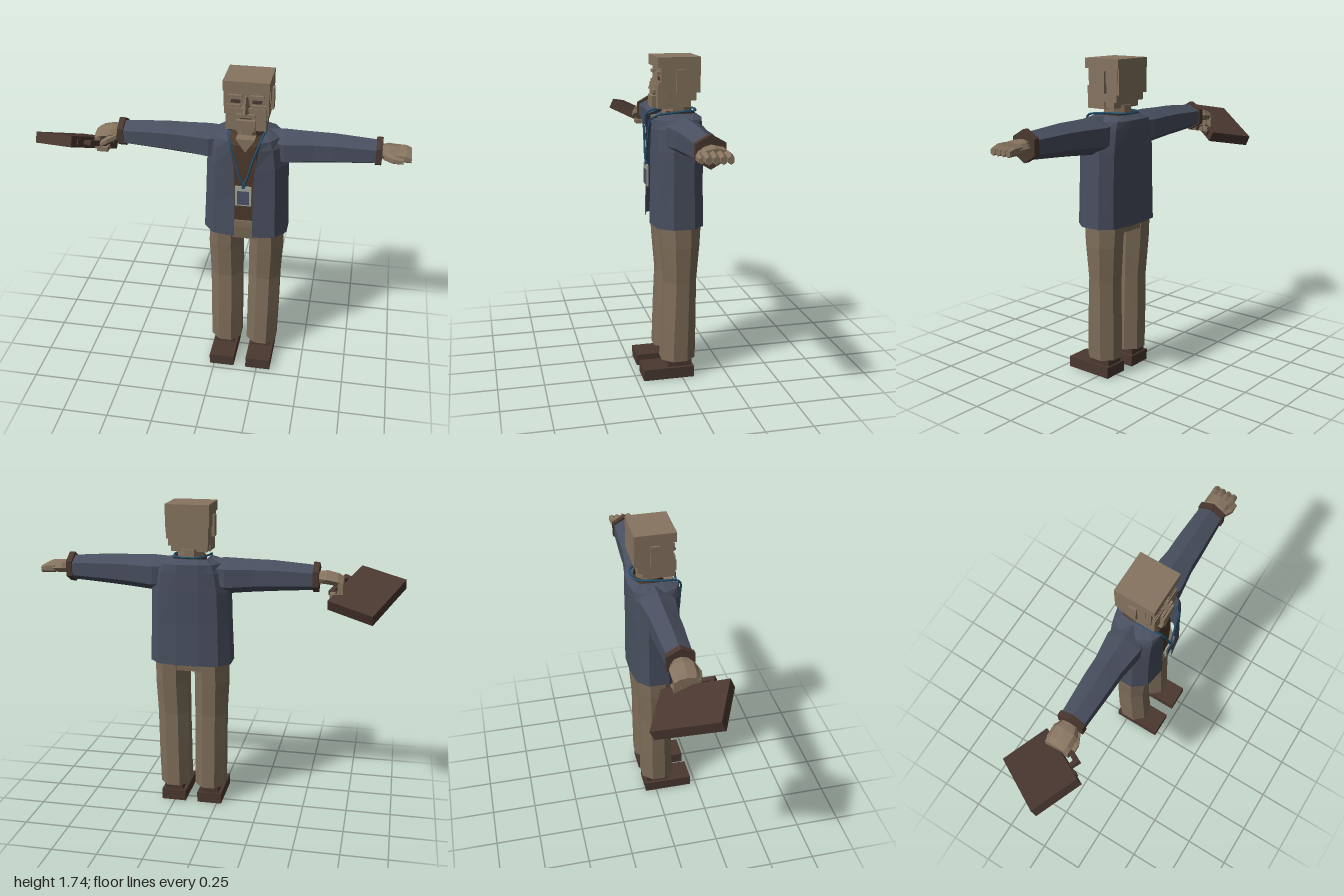
import * as THREE from 'three';

const mat = (name, color, side = THREE.FrontSide) =>
  new THREE.MeshStandardMaterial({ name, color, side, flatShading: true });

export function createModel() {
  const skin = mat('skin', 0x86745f);
  const trouser = mat('trouser tan', 0x7f6e5a);
  const cloth = mat('jacket blue grey', 0x494f5f, THREE.DoubleSide);
  const brown = mat('shirt brown', 0x4b382b, THREE.DoubleSide);
  const leather = mat('leather brown', 0x4a3830);
  const blue = mat('lanyard blue', 0x24506e);
  const white = mat('badge white', 0xa3a498);
  const photo = mat('badge photo', 0x4b5268);

  const model = new THREE.Group();
  model.name = 'standingMan';
  const body = new THREE.Group(); // body axis lies to one side, balancing the case
  body.name = 'body';
  body.position.x = 0.15;
  model.add(body);

  const add = (name, geo, m, parent = body) => {
    const mesh = new THREE.Mesh(geo, m);
    mesh.name = name;
    parent.add(mesh);
    return mesh;
  };
  // Box given by its limits on each axis
  const box = (name, m, x0, x1, y0, y1, z0, z1, parent = body) => {
    const g = new THREE.BoxGeometry(x1 - x0, y1 - y0, z1 - z0);
    g.translate((x0 + x1) / 2, (y0 + y1) / 2, (z0 + z1) / 2);
    return add(name, g, m, parent);
  };
  // Flat-shaded skin over cross-sections, turned outwards by its signed volume
  const loft = (rings, closed = true) => {
    const tris = [];
    const n = rings[0].length;
    for (let i = 0; i < rings.length - 1; i++) {
      for (let j = 0; j < (closed ? n : n - 1); j++) {
        const k = (j + 1) % n, a = rings[i], b = rings[i + 1];
        tris.push([a[j], a[k], b[k]], [a[j], b[k], b[j]]);
      }
    }
    if (closed) {
      const last = rings[rings.length - 1];
      for (let j = 1; j < n - 1; j++) {
        tris.push([rings[0][0], rings[0][j + 1], rings[0][j]], [last[0], last[j], last[j + 1]]);
      }
    }
    const mid = new THREE.Vector3();
    rings.flat().forEach((p) => mid.add(p));
    mid.divideScalar(n * rings.length);
    const rel = (p) => p.clone().sub(mid);
    const volume = tris.reduce((s, [a, b, c]) => s + rel(a).dot(rel(b).cross(rel(c))), 0);
    if (volume < 0) tris.forEach((t) => t.reverse());
    const g = new THREE.BufferGeometry().setFromPoints(tris.flat());
    g.computeVertexNormals();
    return g;
  };
  // Polygon rings: across x (for arms) or across y (for legs and trunk)
  const ringX = (x, y, z, ry, rz, n = 6) => Array.from({ length: n }, (_, i) => {
    const a = (i / n) * Math.PI * 2;
    return new THREE.Vector3(x, y + ry * Math.cos(a), z + rz * Math.sin(a));
  });
  const ringY = (y, x, z, rx, rz, n = 8) => Array.from({ length: n }, (_, i) => {
    const a = ((i + 0.5) / n) * Math.PI * 2, c = Math.cos(Math.PI / n);
    return new THREE.Vector3(x + (rx * Math.cos(a)) / c, y, z + (rz * Math.sin(a)) / c);
  });

  // Jacket, open at the front
  const jacketRing = ([y, gap, zf, u, w, zb]) => {
    const half = [[gap, zf], [u, zf - 0.02], [w, zf * 0.4], [w, -zb * 0.4], [u, 0.018 - zb], [0.06, -zb]];
    const mirrored = half.map(([x, z]) => [-x, z]).reverse();
    return [...half, ...mirrored].map(([x, z]) => new THREE.Vector3(x, y, z));
  };
  add('jacket', loft([
    [0.86, 0.05, 0.155, 0.17, 0.228, 0.128],
    [1.1, 0.048, 0.149, 0.165, 0.218, 0.125],
    [1.27, 0.055, 0.149, 0.16, 0.213, 0.127],
    [1.38, 0.075, 0.149, 0.145, 0.197, 0.127],
    [1.425, 0.085, 0.143, 0.13, 0.168, 0.125],
    [1.45, 0.085, 0.07, 0.095, 0.1, 0.09],
  ].map(jacketRing), false), cloth);

  // Shirt, collar and waist
  add('shirt', loft([
    ringY(0.94, 0, 0.01, 0.15, 0.11), ringY(1.25, 0, 0.01, 0.15, 0.115),
    ringY(1.39, 0, 0.01, 0.13, 0.108), ringY(1.425, 0, 0, 0.085, 0.08),
  ]), brown);
  const collar = new THREE.CylinderGeometry(0.082, 0.092, 0.05, 10, 1, true, 0.6, Math.PI * 2 - 1.2);
  add('collar', collar.translate(0, 1.435, -0.005), brown);
  add('hips', loft([ringY(0.82, 0, 0.003, 0.17, 0.1), ringY(0.91, 0, 0.005, 0.16, 0.11)]), trouser);
  add('belt', loft([ringY(0.905, 0, 0.007, 0.16, 0.122), ringY(0.945, 0, 0.007, 0.16, 0.122)]), trouser);

  // Neck and the skin showing in the open collar
  add('neck', loft([ringY(1.38, 0, 0, 0.065, 0.07), ringY(1.5, 0, 0, 0.07, 0.07)]), skin);
  const vee = new THREE.Shape([[-0.05, 1.43], [0, 1.355], [0.05, 1.43]].map((p) => new THREE.Vector2(...p)));
  add('openCollar', new THREE.ExtrudeGeometry(vee, { depth: 0.06, bevelEnabled: false }).translate(0, 0, 0.066), skin);

  // Lanyard and badge
  const strap = [[0.045, 1.32, 0.16], [0.08, 1.43, 0.145], [0.096, 1.458, 0.02], [0.06, 1.46, -0.09]];
  const path = [[0, 1.19, 0.163], ...strap, ...strap.map(([x, y, z]) => [-x, y, z]).reverse()];
  const curve = new THREE.CatmullRomCurve3(path.map((p) => new THREE.Vector3(...p)), true, 'centripetal');
  add('lanyard', new THREE.TubeGeometry(curve, 48, 0.006, 5, true), blue);
  box('badgeClip', blue, -0.01, 0.01, 1.165, 1.2, 0.158, 0.167);
  box('badge', white, -0.043, 0.043, 1.06, 1.175, 0.157, 0.165);
  box('badgePhoto', photo, -0.032, 0.032, 1.068, 1.148, 0.162, 0.168);

  // Blocky head
  const head = new THREE.Group();
  head.name = 'head';
  body.add(head);
  box('crown', skin, -0.12, 0.12, 1.69, 1.743, -0.105, 0.12, head);
  box('skull', skin, -0.115, 0.115, 1.56, 1.69, -0.105, 0.1, head);
  box('nape', skin, -0.11, 0.11, 1.52, 1.56, -0.085, 0.08, head);
  box('napeLower', skin, -0.1, 0.1, 1.485, 1.52, -0.058, 0.08, head);
  box('jaw', skin, -0.105, 0.105, 1.48, 1.6, 0, 0.117, head);
  box('chin', skin, -0.05, 0.05, 1.48, 1.54, 0.1, 0.138, head);
  box('moustache', skin, -0.05, 0.05, 1.553, 1.572, 0.1, 0.13, head);
  box('mouth', leather, -0.03, 0.03, 1.543, 1.549, 0.112, 0.12, head);
  add('nose', loft([
    [[-0.025, 1.572, 0.1], [0.025, 1.572, 0.1], [0, 1.575, 0.148]],
    [[-0.011, 1.66, 0.09], [0.011, 1.66, 0.09], [0, 1.66, 0.115]],
  ].map((r) => r.map((p) => new THREE.Vector3(...p)))), skin, head);
  for (const s of [-1, 1]) {
    const side = (name, m, a, b, ...rest) => box(name, m, Math.min(s * a, s * b), Math.max(s * a, s * b), ...rest, head);
    side('brow', skin, 0.022, 0.09, 1.652, 1.668, 0.09, 0.116);
    side('eye', leather, 0.03, 0.08, 1.622, 1.64, 0.096, 0.104);
    side('cheek', skin, 0.03, 0.1, 1.595, 1.615, 0.09, 0.112);
    side('ear', skin, 0.11, 0.132, 1.565, 1.68, -0.02, 0.025);
    side('sideburn', skin, 0.1, 0.12, 1.62, 1.7, -0.1, 0.07);
  }

  for (const s of [-1, 1]) {
    // Sleeve and cuff
    add('sleeve', loft([
      [0.1, 1.365, 0.08, 0.08], [0.2, 1.352, 0.1, 0.11], [0.27, 1.355, 0.095, 0.1],
      [0.35, 1.358, 0.09, 0.088], [0.45, 1.362, 0.085, 0.086], [0.68, 1.362, 0.068, 0.074],
    ].map(([x, y, ry, rz]) => ringX(s * x, y, 0, ry, rz))), cloth);
    add('cuff', loft([ringX(s * 0.668, 1.365, 0, 0.082, 0.083), ringX(s * 0.7, 1.365, 0, 0.082, 0.083)]), leather);

    // Trouser leg
    add('trouserLeg', loft([
      [0.1, 0.103, 0.015, 0.086, 0.093], [0.32, 0.106, 0.01, 0.088, 0.09],
      [0.55, 0.108, 0.004, 0.088, 0.085], [0.75, 0.113, 0.004, 0.092, 0.1],
      [0.9, 0.11, 0.004, 0.092, 0.109],
    ].map(([y, x, z, rx, rz]) => ringY(y, s * x, z, rx, rz))), trouser);

    // Shoe
    const cx = s * 0.106;
    box('shoe', leather, cx - 0.071, cx + 0.071, 0, 0.062, -0.065, 0.215);
    box('shoeUpper', leather, cx - 0.052, cx + 0.052, 0.06, 0.11, -0.055, 0.075);
  }

  // Open left hand
  add('leftPalm', loft([
    ringX(0.69, 1.365, 0, 0.034, 0.045, 8), ringX(0.73, 1.366, 0, 0.038, 0.07, 8), ringX(0.785, 1.364, 0, 0.034, 0.07, 8),
  ]), skin);
  for (let i = 0; i < 4; i++) {
    const z = -0.05 + i * 0.034;
    add('leftFinger', loft([
      ringX(0.77, 1.364, z, 0.026, 0.019), ringX(0.82, 1.362, z, 0.026, 0.019), ringX(0.85, 1.355, z, 0.02, 0.017),
    ]), skin);
  }
  add('leftThumb', loft([
    ringX(0.71, 1.362, 0.045, 0.024, 0.024), ringX(0.76, 1.355, 0.072, 0.022, 0.02), ringX(0.81, 1.35, 0.074, 0.016, 0.016),
  ]), skin);

  // Right hand curled around the handle
  add('rightPalm', loft([
    ringX(-0.69, 1.365, 0, 0.034, 0.045, 8), ringX(-0.74, 1.366, 0, 0.038, 0.07, 8),
    ringX(-0.8, 1.356, 0, 0.034, 0.07, 8), ringX(-0.83, 1.345, 0, 0.025, 0.06, 8),
  ]), skin);
  for (let i = 0; i < 4; i++) {
    const z = -0.05 + i * 0.034;
    box('rightFinger', skin, -0.83, -0.8, 1.28, 1.35, z - 0.015, z + 0.015);
    box('rightFingertip', skin, -0.82, -0.76, 1.265, 1.29, z - 0.015, z + 0.015);
  }
  add('rightThumb', loft([
    ringX(-0.71, 1.355, 0.045, 0.022, 0.024), ringX(-0.76, 1.335, 0.07, 0.022, 0.02), ringX(-0.8, 1.31, 0.07, 0.016, 0.016),
  ]), skin);

  // Tilted briefcase, its handle along local +x
  const briefcase = new THREE.Group();
  briefcase.name = 'briefcase';
  const across = new THREE.Vector3(0.24, 0.045, 0.11).normalize();
  const up = new THREE.Vector3(0.02, 0.91, -0.41);
  up.addScaledVector(across, -up.dot(across)).normalize();
  briefcase.quaternion.setFromRotationMatrix(
    new THREE.Matrix4().makeBasis(across, up, across.clone().cross(up)));
  briefcase.position.set(-0.955, 1.283, -0.008);
  body.add(briefcase);
  box('case', leather, -0.134, 0.134, -0.03, 0.03, -0.18, 0.18, briefcase);
  for (const s of [-1, 1]) {
    box('handlePost', leather, 0.13, 0.18, -0.012, 0.012, s * 0.075 - 0.012, s * 0.075 + 0.012, briefcase);
    box('latch', leather, 0.13, 0.142, -0.015, 0.015, s * 0.125 - 0.014, s * 0.125 + 0.014, briefcase);
  }
  box('handleGrip', leather, 0.16, 0.185, -0.014, 0.014, -0.087, 0.087, briefcase);

  return model;
}
